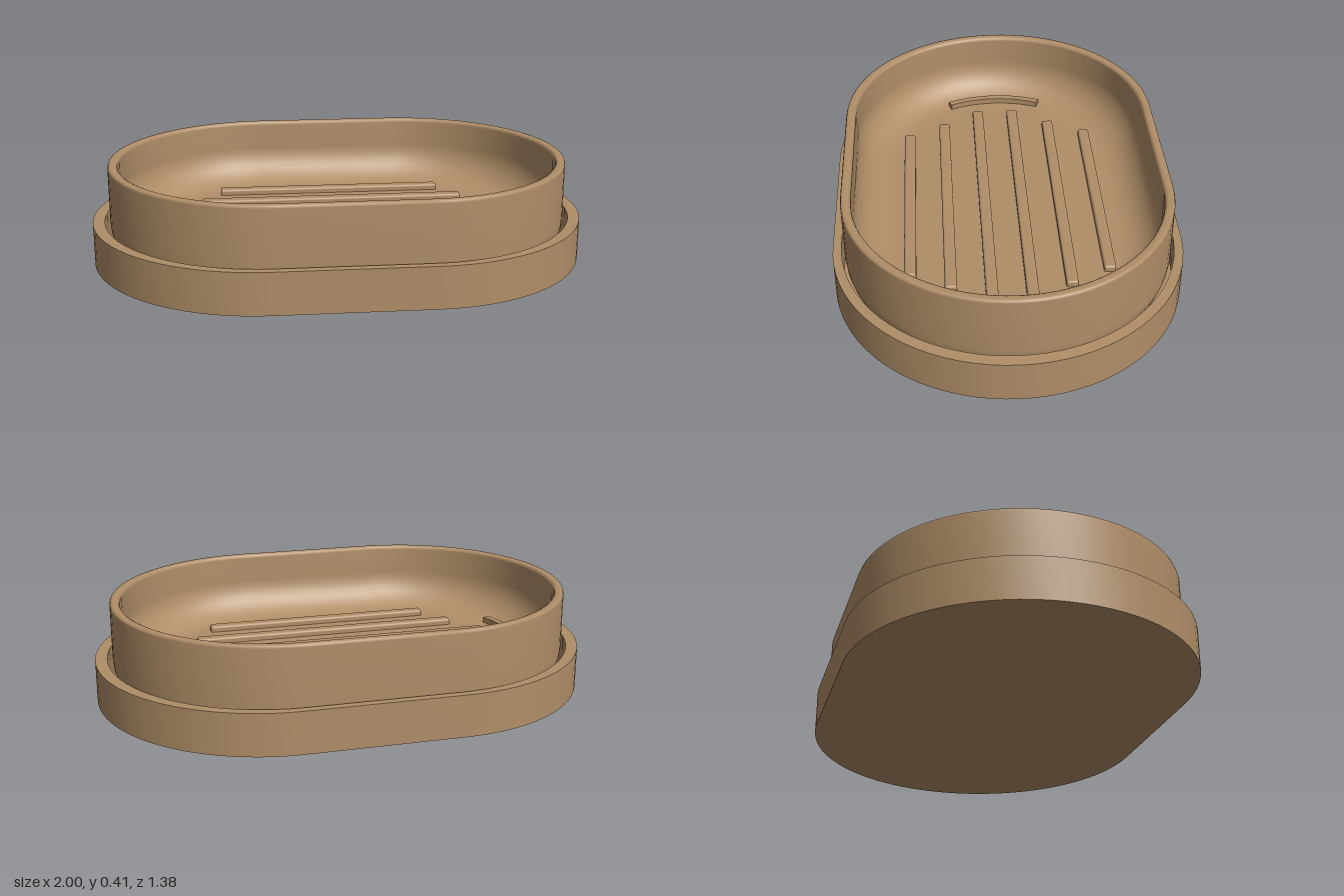
import * as THREE from 'three';
import { toCreasedNormals } from 'three/addons/utils/BufferGeometryUtils.js';
import { RoundedBoxGeometry } from 'three/addons/geometries/RoundedBoxGeometry.js';

const CAP = 40; // segments per rounded end

// Loft stadium-shaped rings; each ring is [half straight length, end radius, y]
function stadiumLoft(rings) {
  const pos = [], index = [];
  const n = 2 * (CAP + 1);
  for (const [half, r, y] of rings) {
    for (let side = 0; side < 2; side++) {
      for (let i = 0; i <= CAP; i++) {
        const t = -Math.PI / 2 + side * Math.PI + (i / CAP) * Math.PI;
        pos.push((side ? -half : half) + r * Math.cos(t), y, -r * Math.sin(t));
      }
    }
  }
  for (let k = 0; k < rings.length - 1; k++) {
    for (let j = 0; j < n; j++) {
      const a = k * n + j, b = k * n + ((j + 1) % n);
      index.push(a, b, a + n, b, b + n, a + n);
    }
  }
  const geo = new THREE.BufferGeometry();
  geo.setAttribute('position', new THREE.Float32BufferAttribute(pos, 3));
  geo.setIndex(index);
  geo.computeVertexNormals();
  return geo;
}

export function createModel() {
  const model = new THREE.Group();
  const clay = new THREE.MeshStandardMaterial({ color: 0xb08e68 });
  clay.name = 'warm clay';

  const add = (name, geo, parent = model) => {
    const mesh = new THREE.Mesh(geo, clay);
    mesh.name = name;
    parent.add(mesh);
    return mesh;
  };

  // Lower tray with crisp edges
  add('tray', toCreasedNormals(stadiumLoft([
    [0.31, 0, 0], [0.31, 0.69, 0], [0.31, 0.69, 0.17],
    [0.295, 0.657, 0.17], [0.295, 0.657, 0.03], [0.295, 0, 0.03],
  ]), 0.6));

  // Upper dish: curved underside, straight wall, soft rim, rounded bowl
  const H = 0.285, floorY = 0.137, fillet = 0.15;
  const profile = [[H, 0, 0.03], [H, 0.53, 0.03]];
  for (let i = 1; i <= 6; i++) {
    const t = (i / 6) * Math.PI / 2;
    profile.push([H, 0.53 + 0.115 * Math.sin(t), 0.03 + 0.14 * (1 - Math.cos(t))]);
  }
  profile.push([H, 0.645, 0.395], [H, 0.642, 0.404], [H, 0.634, 0.406],
    [H, 0.617, 0.406], [H, 0.609, 0.402], [H, 0.605, 0.392]);
  for (let i = 0; i <= 10; i++) {
    const t = (i / 10) * Math.PI / 2;
    profile.push([H, 0.455 + fillet * Math.cos(t), floorY + fillet * (1 - Math.sin(t))]);
  }
  profile.push([H, 0.43, floorY], [H, 0, floorY]);
  add('dish', stadiumLoft(profile));

  // Drainage ribs, shorter towards the sides
  const ribs = new THREE.Group();
  ribs.name = 'ribs';
  model.add(ribs);
  [[0.0775, 0.66], [0.2325, 0.56], [0.3875, 0.48]].forEach(([z, half]) => {
    for (const s of [-1, 1]) {
      add('rib', new RoundedBoxGeometry(2 * half, 0.05, 0.047, 3, 0.01), ribs)
        .position.set(0, 0.137, s * z);
    }
  });

  // Curved ridge at each end of the floor
  const a = 0.43;
  const arc = new THREE.Shape();
  arc.absarc(0, 0, 0.497, -a, a, false);
  arc.absarc(0, 0, 0.468, a, -a, true);
  const ridgeGeo = new THREE.ExtrudeGeometry(arc, { depth: 0.04, bevelEnabled: false, curveSegments: 20 });
  ridgeGeo.rotateX(-Math.PI / 2);
  for (const s of [-1, 1]) {
    const ridge = add('endRidge', ridgeGeo);
    ridge.position.set(s * H, 0.122, 0);
    if (s < 0) ridge.rotation.y = Math.PI;
  }

  return model;
}
